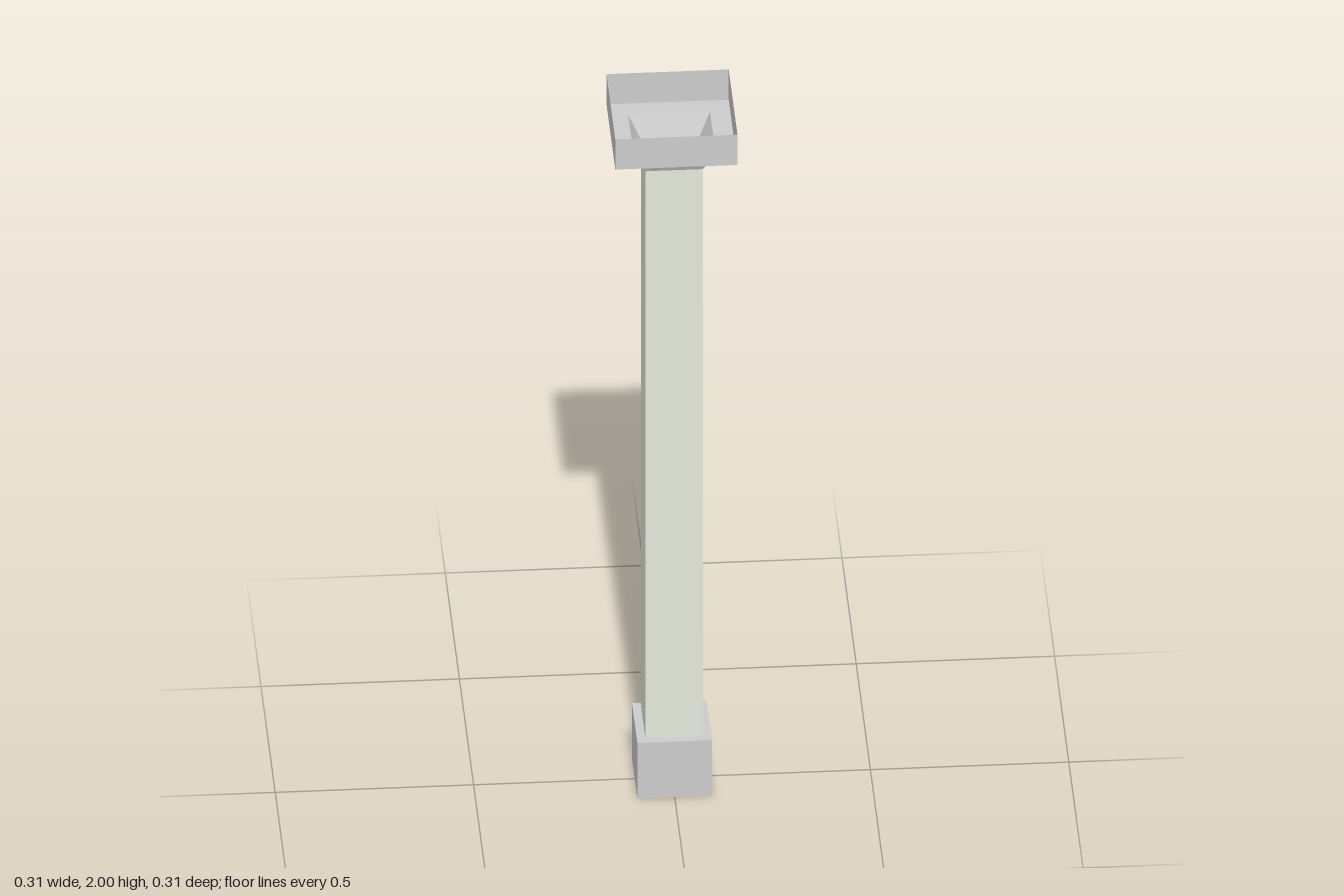
import * as THREE from 'three';

const stone = new THREE.MeshStandardMaterial({ color: 0xcccccc, flatShading: true, side: THREE.DoubleSide });
const paleStone = new THREE.MeshStandardMaterial({ color: 0xe5e8da, flatShading: true, side: THREE.DoubleSide });

// Square shell swept from a profile of [half width, height] pairs, bottom to top
function squareShell(name, profile, material) {
  const points = profile.map(([half, y]) => new THREE.Vector2(half * Math.SQRT2, y));
  const geometry = new THREE.LatheGeometry(points, 4, Math.PI / 4).toNonIndexed();
  geometry.computeVertexNormals();
  const mesh = new THREE.Mesh(geometry, material);
  mesh.name = name;
  return mesh;
}

export function createModel() {
  const column = new THREE.Group();
  column.name = 'column';

  const shaftHalf = 0.0725, baseHalf = 0.094, neckHalf = 0.103, trayHalf = 0.154;
  const baseTop = 0.165, shaftTop = 1.85, neckTop = 1.91, top = 2;

  column.add(
    // Block base with a ledge around the shaft
    squareShell('base', [[0, 0], [baseHalf, 0], [baseHalf, baseTop], [shaftHalf, baseTop]], stone),
    // Hollow square shaft
    squareShell('shaft', [[shaftHalf, baseTop], [shaftHalf, shaftTop]], paleStone),
    // Flared neck under the capital
    squareShell('neck', [[shaftHalf, shaftTop], [neckHalf, neckTop]], stone),
    // Open-topped capital with a square opening in its floor
    squareShell('capital', [[neckHalf, neckTop], [trayHalf, neckTop], [trayHalf, top]], stone),
  );
  return column;
}
